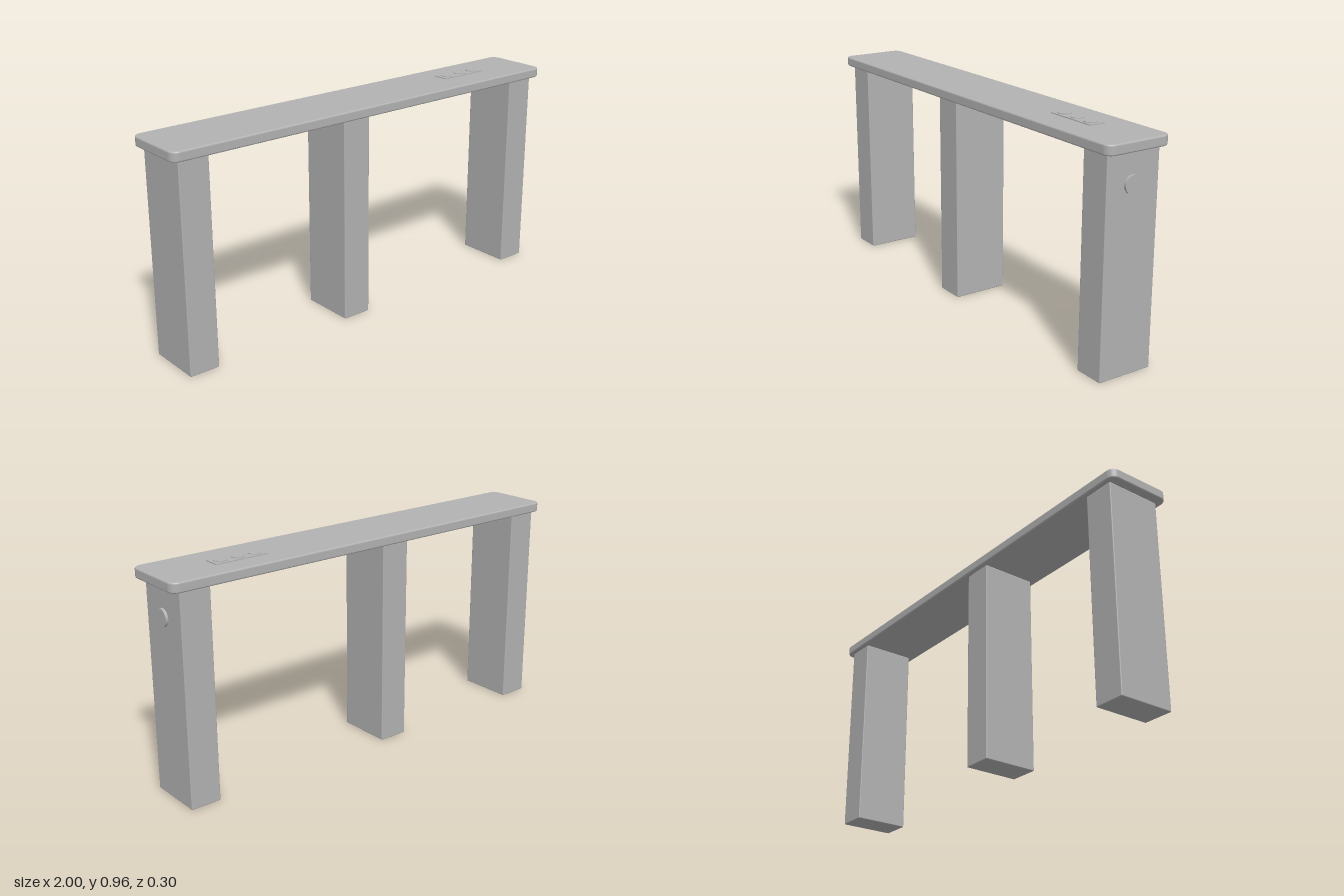
import * as THREE from 'three';
import { RoundedBoxGeometry } from 'three/addons/geometries/RoundedBoxGeometry.js';

const grey = new THREE.MeshStandardMaterial({ color: 0xb2b2b2 });
grey.name = 'grey';

// rounded rectangle lying flat, centred on the origin in plan, bottom at y = 0
function slab(w, d, h, radius, bevel) {
  const x = w / 2 - bevel, y = d / 2 - bevel, r = radius - bevel;
  const s = new THREE.Shape();
  s.moveTo(-x + r, -y);
  s.absarc(x - r, -y + r, r, -Math.PI / 2, 0);
  s.absarc(x - r, y - r, r, 0, Math.PI / 2);
  s.absarc(-x + r, y - r, r, Math.PI / 2, Math.PI);
  s.absarc(-x + r, -y + r, r, Math.PI, Math.PI * 1.5);
  const g = new THREE.ExtrudeGeometry(s, {
    depth: h - 2 * bevel, bevelEnabled: bevel > 0, bevelSize: bevel,
    bevelThickness: bevel, bevelSegments: 4, curveSegments: 8,
  });
  return g.translate(0, 0, bevel).rotateX(-Math.PI / 2);
}

export function createModel() {
  const model = new THREE.Group();
  model.name = 'benchTable';

  const add = (name, geometry, x, y, z, parent = model) => {
    const mesh = new THREE.Mesh(geometry, grey);
    mesh.name = name;
    mesh.position.set(x, y, z);
    parent.add(mesh);
    return mesh;
  };

  // long top with rounded corners and softened edges
  add('tableTop', slab(2, 0.298, 0.043, 0.035, 0.007), 0, 0.909, 0);

  // three box legs
  const legGeometry = new RoundedBoxGeometry(0.135, 0.909, 0.25, 2, 0.004);
  [['rightLeg', -0.895], ['middleLeg', -0.103], ['leftLeg', 0.892]].forEach(([name, x]) =>
    add(name, legGeometry, x, 0.4545, -0.005));

  // socket panel on the top, with three raised round outlets
  const panel = new THREE.Group();
  panel.name = 'socketPanel';
  panel.position.set(0.622, 0.952, -0.012);
  model.add(panel);
  add('panelPlate', slab(0.245, 0.074, 0.004, 0.005, 0), 0, 0, 0, panel);
  const outlet = new THREE.CylinderGeometry(0.027, 0.027, 0.003, 40);
  for (const x of [-0.08, 0, 0.08]) add('outlet', outlet, x, 0.0055, 0, panel);

  // round outlet on the outer face of the left leg
  const disc = new THREE.CylinderGeometry(0.037, 0.037, 0.012, 48).rotateZ(-Math.PI / 2);
  add('legOutlet', disc, 0.9645, 0.776, 0);

  return model;
}
